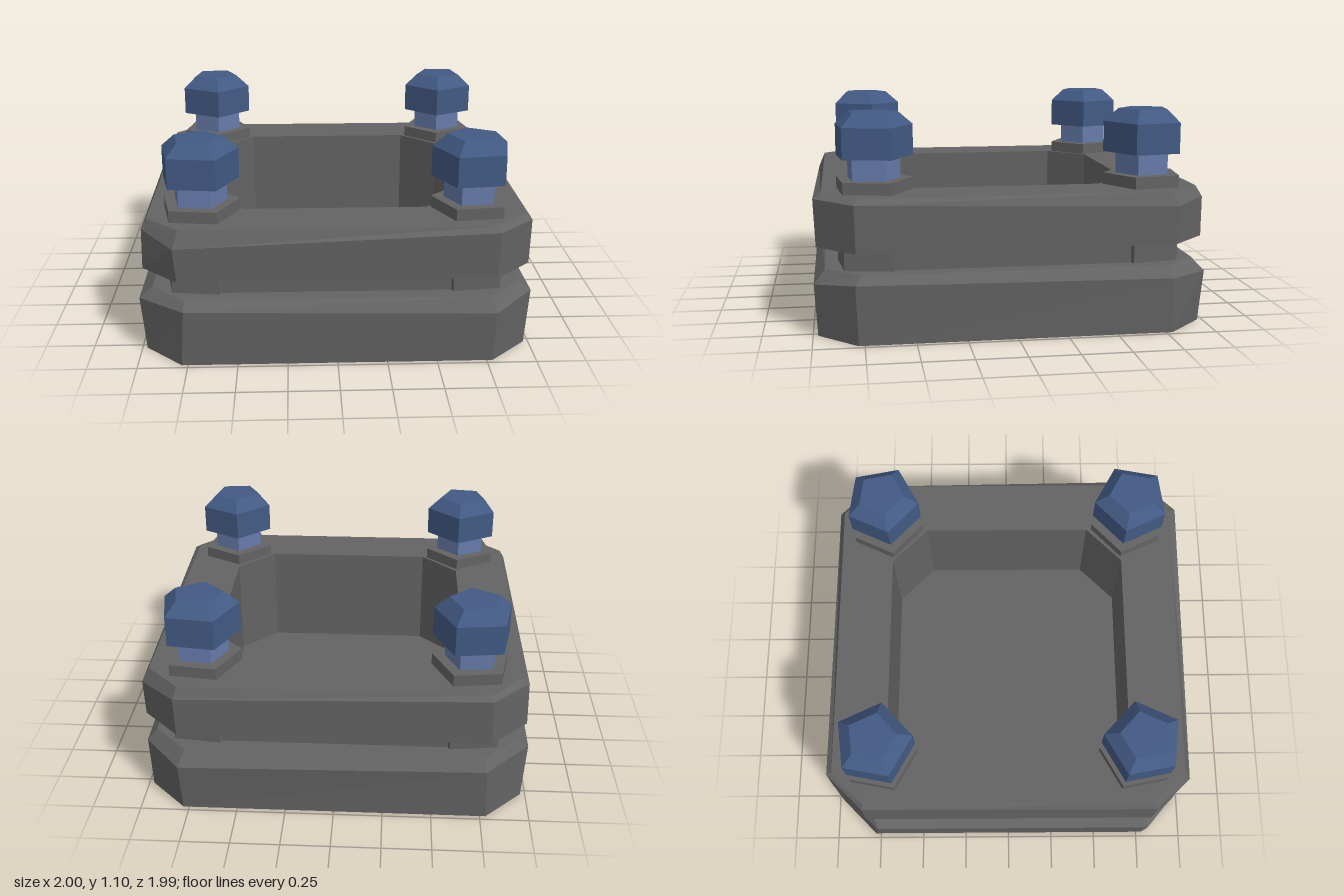
import * as THREE from 'three';

const mat = (name, color) => {
  const m = new THREE.MeshStandardMaterial({ color, flatShading: true });
  m.name = name;
  return m;
};

// Square of half-size h with cut corners; c is the half-length of the straight sides
const octagon = (h, c, y) => [[-c, h], [c, h], [h, c], [h, -c], [c, -h], [-c, -h], [-h, -c], [-h, c]]
  .map(([x, z]) => [x, y, z]);

// Join octagonal levels into a faceted skin, optionally closing both ends
function loft(levels, capped) {
  const pos = [];
  const tri = (a, b, c) => pos.push(...a, ...b, ...c);
  for (let k = 0; k < levels.length - 1; k++) {
    const a = levels[k], b = levels[k + 1];
    for (let i = 0; i < 8; i++) {
      const j = (i + 1) % 8;
      tri(a[i], a[j], b[j]);
      tri(a[i], b[j], b[i]);
    }
  }
  if (capped) {
    const a = levels[0], b = levels[levels.length - 1];
    for (let i = 1; i < 7; i++) {
      tri(a[0], a[i + 1], a[i]);
      tri(b[0], b[i], b[i + 1]);
    }
  }
  const g = new THREE.BufferGeometry();
  g.setAttribute('position', new THREE.Float32BufferAttribute(pos, 3));
  g.computeVertexNormals();
  return g;
}

// Five-sided turned solid from [radius, height] pairs
function pentagonal(profile) {
  const g = new THREE.LatheGeometry(profile.map(([r, y]) => new THREE.Vector2(r, y)), 5).toNonIndexed();
  g.computeVertexNormals();
  return g;
}

export function createModel() {
  const stone = mat('dark stone', 0x636363);
  const blue = mat('deep blue', 0x425a84);
  const paleBlue = mat('pale blue', 0x667bab);
  const model = new THREE.Group();
  model.name = 'stonePlatform';
  const add = (parent, name, geometry, material) => {
    const m = new THREE.Mesh(geometry, material);
    m.name = name;
    parent.add(m);
  };

  // Hollow base tray with an uneven, worn shoulder
  const baseRidge = [[-0.76, 0.295, 0.99], [0.79, 0.265, 0.99], [0.995, 0.3, 0.79], [0.985, 0.28, -0.78],
    [0.79, 0.265, -1], [-0.77, 0.28, -0.985], [-1, 0.28, -0.74], [-1, 0.285, 0.785]];
  add(model, 'baseTray', loft([
    octagon(0.975, 0.78, 0), baseRidge, octagon(0.935, 0.76, 0.335),
    octagon(0.655, 0.46, 0.335), octagon(0.655, 0.46, 0.15)], true), stone);

  // Recessed wall between the two slabs
  add(model, 'recessedWall', loft([
    octagon(0.85, 0.64, 0.33), octagon(0.85, 0.64, 0.455),
    octagon(0.655, 0.46, 0.455), octagon(0.655, 0.46, 0.33)], false), stone);

  // Upper rim, also with a worn shoulder
  const rimBottom = octagon(0.975, 0.785, 0.45);
  const rimRidge = [[-0.8, 0.625, 0.98], [0.79, 0.69, 0.985], [0.98, 0.685, 0.79], [0.98, 0.64, -0.79],
    [0.79, 0.655, -0.975], [-0.78, 0.69, -0.975], [-0.97, 0.68, -0.78], [-0.97, 0.66, 0.79]];
  add(model, 'upperRim', loft([
    rimBottom, rimRidge, octagon(0.945, 0.77, 0.71),
    octagon(0.655, 0.46, 0.71), octagon(0.655, 0.46, 0.45), rimBottom], false), stone);

  // Corner posts with blue knobs
  const post = pentagonal([[0, 0.33], [0.205, 0.33], [0.205, 0.77], [0, 0.77]]);
  const neck = pentagonal([[0.14, 0.76], [0.14, 0.89]]);
  const cap = pentagonal([[0, 0.88], [0.205, 0.88], [0.205, 1.035], [0.13, 1.1], [0, 1.1]]);
  for (const sx of [-1, 1]) {
    for (const sz of [-1, 1]) {
      const corner = new THREE.Group();
      corner.name = `${sz > 0 ? 'front' : 'back'}${sx > 0 ? 'Left' : 'Right'}Post`;
      add(corner, 'post', post, stone);
      add(corner, 'neck', neck, paleBlue);
      add(corner, 'knob', cap, blue);
      corner.position.set(sx * 0.685, 0, sz * 0.69);
      corner.rotation.y = THREE.MathUtils.degToRad(-sx * (sz > 0 ? 29 : 7));
      model.add(corner);
    }
  }
  return model;
}
